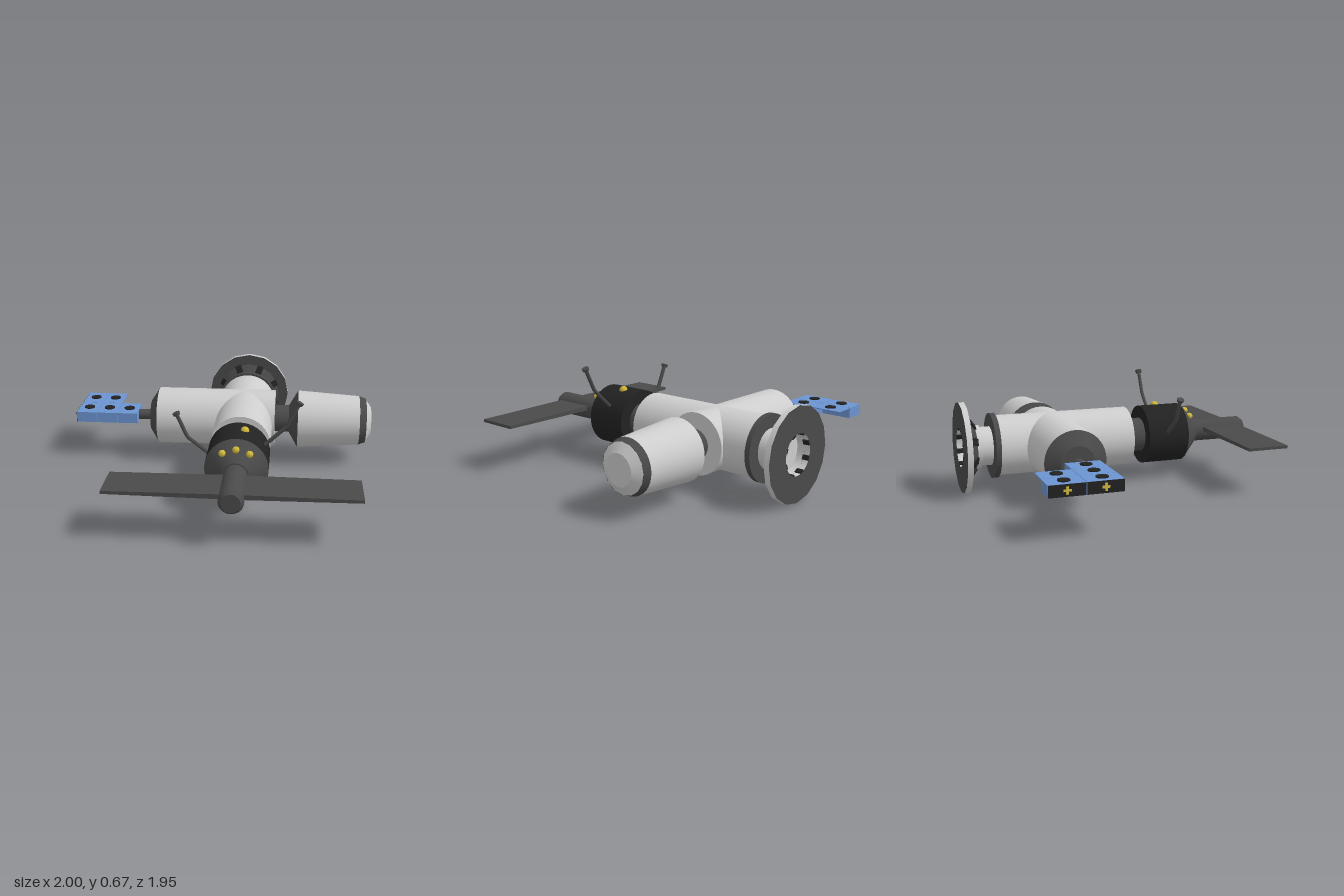
import * as THREE from 'three';

const material = (name, color, side = THREE.FrontSide) => {
  const m = new THREE.MeshStandardMaterial({ color, side });
  m.name = name;
  return m;
};

export function createModel() {
  const light = material('light grey hull', 0xcdcdcd, THREE.DoubleSide);
  const dark = material('dark grey metal', 0x4a4a4a, THREE.DoubleSide);
  const black = material('black', 0x222222);
  const blue = material('blue panel', 0x6c94d2, THREE.DoubleSide);
  const yellow = material('yellow lamp', 0xd2ba3c);

  const CX = 0.15, CY = 0.288, CZ = -0.4;
  const station = new THREE.Group();
  station.name = 'spaceStation';

  const add = (name, geometry, mat, x = 0, y = 0, z = 0, parent = station) => {
    const mesh = new THREE.Mesh(geometry, mat);
    mesh.name = name;
    mesh.position.set(x, y, z);
    parent.add(mesh);
    return mesh;
  };
  const box = (name, mat, w, h, d, x, y, z) => add(name, new THREE.BoxGeometry(w, h, d), mat, x, y, z);

  // Round section from a to b (a < b) along the long z axis
  const alongZ = (name, mat, a, ra, b, rb, sides = 40, open = false) => {
    const g = new THREE.CylinderGeometry(rb, ra, b - a, sides, 1, open).rotateX(Math.PI / 2);
    return add(name, g, mat, CX, CY, (a + b) / 2);
  };
  // Round section from a to b (a < b) along the cross axis
  const alongX = (name, mat, a, ra, b, rb, sides = 40, open = false) => {
    const g = new THREE.CylinderGeometry(rb, ra, b - a, sides, 1, open).rotateZ(-Math.PI / 2);
    return add(name, g, mat, (a + b) / 2, CY, CZ);
  };

  // Crossing hull barrels
  alongZ('mainBarrel', light, -0.755, 0.19, 0.12, 0.19);
  alongX('crossBarrel', light, -0.435, 0.19, 0.355, 0.19);

  // Front module with nose and wing
  alongZ('frontConnector', dark, 0.12, 0.11, 0.23, 0.11);
  alongZ('frontModule', black, 0.225, 0.191, 0.5, 0.191);
  alongZ('frontCone', dark, 0.5, 0.191, 0.605, 0.08);
  alongZ('noseTube', dark, 0.6, 0.073, 0.95, 0.073, 24);
  alongZ('noseTip', dark, 0.95, 0.073, 0.975, 0.055, 24);
  const wing = new THREE.BoxGeometry(1.445, 0.03, 0.265, 2, 1, 1);
  const wp = wing.attributes.position;
  for (let i = 0; i < wp.count; i++) {
    if (Math.abs(wp.getX(i)) > 0.1) wp.setY(i, wp.getY(i) * 0.6);
  }
  wing.computeVertexNormals();
  add('solarWing', wing, dark, 0.148, 0.305, 0.793);

  // Lamps on the cone and the module roof
  const lamp = new THREE.IcosahedronGeometry(0.022, 1);
  for (const a of [-0.6, 0, 0.6]) {
    add('coneLamp', lamp, yellow, CX + Math.sin(a) * 0.142, CY + Math.cos(a) * 0.142, 0.55);
  }
  add('roofLamp', new THREE.IcosahedronGeometry(0.027, 1), yellow, 0.19, 0.472, 0.345);

  // Bent antennas
  const antennas = [
    [[0.29, 0.37], [0.44, 0.51], [0.51, 0.655]],
    [[-0.02, 0.32], [-0.155, 0.425], [-0.22, 0.57]],
  ];
  for (const points of antennas) {
    const group = new THREE.Group();
    group.name = 'antenna';
    station.add(group);
    const pts = points.map(([x, y]) => new THREE.Vector3(x, y, 0.355));
    const path = new THREE.CurvePath();
    path.add(new THREE.LineCurve3(pts[0], pts[1]));
    path.add(new THREE.LineCurve3(pts[1], pts[2]));
    add('antennaRod', new THREE.TubeGeometry(path, 12, 0.012, 8), dark, 0, 0, 0, group);
    const tip = add('antennaTip', new THREE.CylinderGeometry(0.024, 0.02, 0.018, 10), dark,
      pts[2].x, pts[2].y, pts[2].z, group);
    tip.quaternion.setFromUnitVectors(new THREE.Vector3(0, 1, 0), pts[2].clone().sub(pts[1]).normalize());
  }

  // Side pod
  alongX('podConnector', dark, 0.35, 0.09, 0.455, 0.09);
  alongX('podShoulder', dark, 0.45, 0.09, 0.51, 0.192);
  alongX('podBody', light, 0.51, 0.192, 0.92, 0.165);
  alongX('podBand', dark, 0.92, 0.165, 0.965, 0.15);
  alongX('podCap', light, 0.965, 0.15, 1.0, 0.095, 16);

  // Docking port
  alongZ('portCollar', dark, -0.785, 0.205, -0.752, 0.205);
  alongZ('portNeck', light, -0.86, 0.122, -0.785, 0.122);
  alongZ('portRing', light, -0.888, 0.136, -0.855, 0.136);
  alongZ('portFlare', dark, -0.94, 0.218, -0.886, 0.14, 16, true);
  alongZ('portRim', light, -0.975, 0.287, -0.94, 0.287, 16, true);
  alongZ('portTunnel', light, -0.974, 0.125, -0.888, 0.125, 24, true);
  for (const z of [-0.975, -0.94]) {
    add('portFace', new THREE.RingGeometry(0.125, 0.287, 16).rotateY(z < -0.95 ? Math.PI : 0), dark, CX, CY, z);
  }
  for (let i = 0; i < 8; i++) {
    const a = (i + 0.5) * Math.PI / 4;
    // Ribs on the flare
    const rib = new THREE.BoxGeometry(0.045, 0.012, 0.09).rotateX(0.96);
    rib.translate(0, 0.181, 0).rotateZ(a);
    add('portRib', rib, black, CX, CY, -0.912);
    // Latches inside the tunnel
    const latch = new THREE.BoxGeometry(0.03, 0.012, 0.04).translate(0, 0.12, 0).rotateZ(a);
    add('portLatch', latch, black, CX, CY, -0.955);
  }

  // Panel boom
  alongX('boomCone', dark, -0.49, 0.105, -0.435, 0.19);
  alongX('panelBoom', dark, -0.585, 0.035, -0.485, 0.035, 16);

  // Panel cells; the middle cell of the rear row is only a top sheet
  const cells = [[-0.65, -0.405], [-0.79, -0.405], [-0.93, -0.405], [-0.93, -0.617], [-0.79, -0.617]];
  cells.forEach(([x, z], i) => {
    const sheet = i === 4;
    const h = sheet ? 0.006 : 0.07;
    box('panelCell', blue, 0.137, h, 0.209, x, 0.325 - h / 2, z);
    add('panelDisc', new THREE.CylinderGeometry(0.036, 0.036, 0.014, 12), black, x, 0.325, z);
  });

  // Black end plates with yellow crosses
  for (const z of [-0.405, -0.617]) {
    box('endPlate', black, 0.004, 0.068, 0.207, -0.9985, 0.29, z);
    box('endCross', yellow, 0.004, 0.045, 0.014, -1.0, 0.29, z);
    box('endCross', yellow, 0.004, 0.014, 0.045, -1.0, 0.29, z);
  }

  return station;
}
